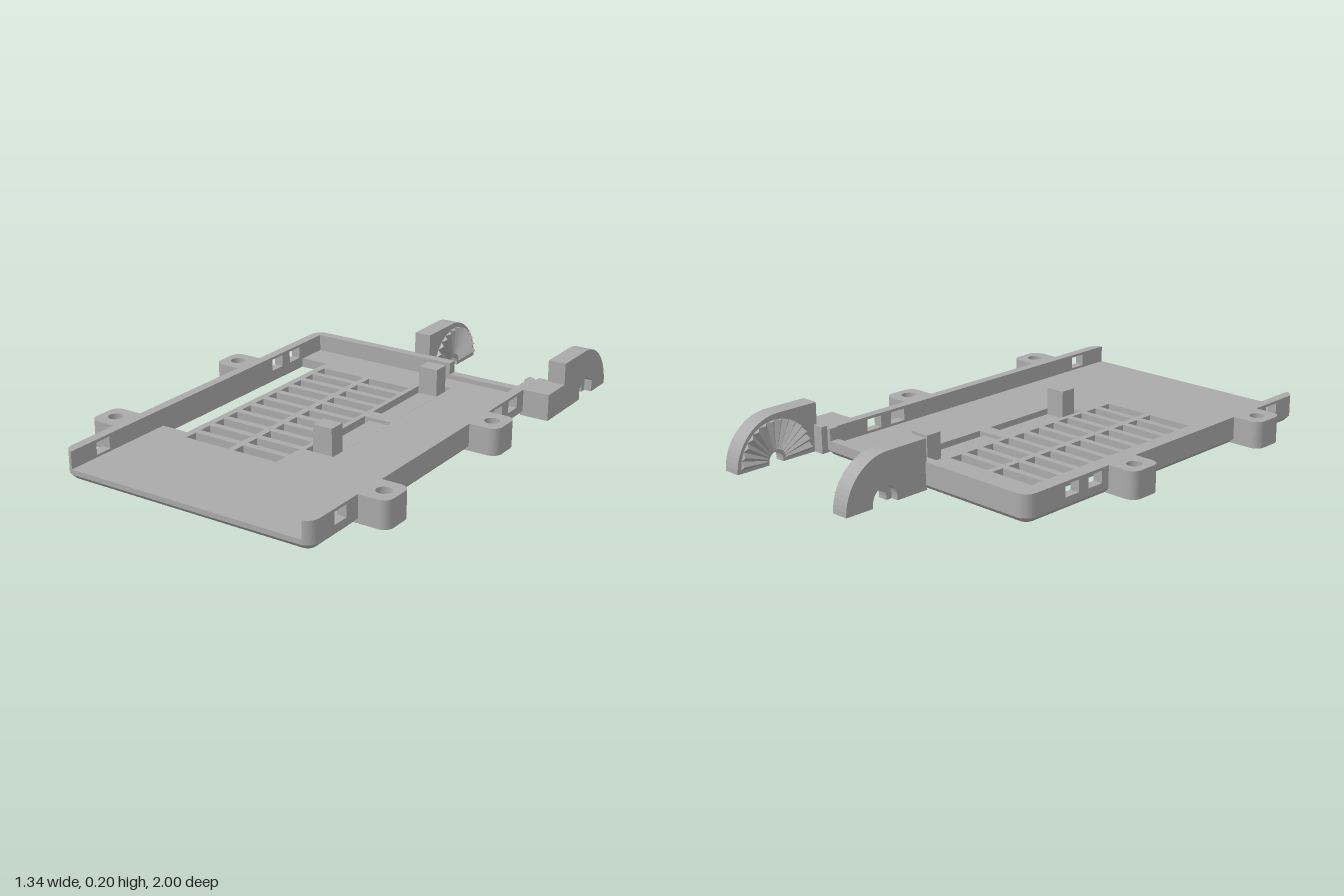
import * as THREE from 'three';

const grey = new THREE.MeshStandardMaterial({ color: 0xaaaaaa, side: THREE.DoubleSide });
grey.name = 'grey plastic';

// Points along an arc, as [a, b] pairs
function arc(cx, cy, r, from, to, n = 8) {
  return Array.from({ length: n + 1 }, (_, i) => {
    const t = from + (to - from) * i / n;
    return [cx + r * Math.cos(t), cy + r * Math.sin(t)];
  });
}
const circle = (cx, cy, r) => arc(cx, cy, r, 0, Math.PI * 2, 24).slice(0, -1);
const rect = (a0, b0, a1, b1) => [[a0, b0], [a1, b0], [a1, b1], [a0, b1]];

function roundedRect(x0, z0, x1, z1, r) {
  const q = Math.PI / 2;
  return [
    ...arc(x1 - r, z1 - r, r, 0, q), ...arc(x0 + r, z1 - r, r, q, 2 * q),
    ...arc(x0 + r, z0 + r, r, 2 * q, 3 * q), ...arc(x1 - r, z0 + r, r, 3 * q, 4 * q),
  ];
}

function extrude(points, holes, depth, flip) {
  const toV = (list) => list.map(([a, b]) => new THREE.Vector2(a, flip ? -b : b));
  const shape = new THREE.Shape(toV(points));
  shape.holes = holes.map((h) => new THREE.Path(toV(h)));
  return new THREE.ExtrudeGeometry(shape, { depth, bevelEnabled: false });
}
// Outline in (x, z), raised from y0 to y1
function slab(points, y0, y1, holes = []) {
  return extrude(points, holes, y1 - y0, true).rotateX(-Math.PI / 2).translate(0, y0, 0);
}
// Outline in (z, y), spanning x0 to x1
function sidePlate(points, x0, x1, holes = []) {
  return extrude(points, holes, x1 - x0, false).rotateY(-Math.PI / 2).translate(x1, 0, 0);
}

// Chamfered rim: a cross-section of [inset, y] carried round the tray outline
function rimGeometry() {
  const section = [[0.02, 0], [0, 0.02], [0, 0.04], [0.02, 0.04]];
  const loops = section.map(([d, y]) =>
    roundedRect(-0.55 + d, -0.62 + d, 0.55 - d, 1 - d, 0.05 - d).map(([x, z]) => [x, y, z]));
  const pos = [];
  for (let k = 0; k < loops.length - 1; k++) {
    const a = loops[k], b = loops[k + 1], n = a.length;
    for (let i = 0; i < n; i++) {
      const j = (i + 1) % n;
      pos.push(...a[i], ...b[i], ...b[j], ...a[i], ...b[j], ...a[j]);
    }
  }
  return fromPositions(pos);
}
function fromPositions(pos) {
  const g = new THREE.BufferGeometry();
  g.setAttribute('position', new THREE.Float32BufferAttribute(pos, 3));
  g.computeVertexNormals();
  return g;
}

// Half ring of radial locking teeth pointing along dir on x
function teethGeometry(x, dir) {
  const count = 14, r0 = 0.045, r1 = 0.165, pos = [];
  const p = (r, t, h) => [x + dir * h, 0.012 + r * Math.sin(t), -0.818 + r * Math.cos(t)];
  for (let i = 0; i < count; i++) {
    const [s, m, e] = [0, 0.5, 1].map((f) => Math.PI * (i + f) / count);
    const a = p(r0, s, 0), b = p(r1, s, 0), c = p(r0, m, 0.005), d = p(r1, m, 0.019);
    const f = p(r0, e, 0), g = p(r1, e, 0);
    const tris = [[a, d, b], [a, c, d], [c, g, d], [c, f, g], [b, d, g], [a, f, c]];
    for (const [u, v, w] of tris) pos.push(...u, ...(dir > 0 ? v : w), ...(dir > 0 ? w : v));
  }
  return fromPositions(pos);
}

// Hinge arm profile in (z, y) with a notch cut into its underside
function armProfile(notch) {
  return [[-0.615, 0], [-0.615, 0.2], ...arc(-0.8, 0, 0.2, Math.PI / 2, Math.PI, 16), ...notch];
}

export function createModel() {
  const model = new THREE.Group();
  model.name = 'ventedTray';
  const add = (name, geometry) => {
    const mesh = new THREE.Mesh(geometry, grey);
    mesh.name = name;
    model.add(mesh);
  };

  // Floor with vent slots, side opening and clip cut-outs
  const holes = [
    rect(-0.515, -0.45, -0.39, 0.49),
    rect(0.085, -0.49, 0.21, -0.09),
    rect(0.085, -0.03, 0.21, 0.375),
  ];
  for (let i = 0; i < 11; i++) {
    const z = -0.394 + i * 0.0868;
    holes.push(rect(-0.36, z, -0.16, z + 0.057), rect(-0.132, z, 0.064, z + 0.057));
  }
  add('floor', slab(roundedRect(-0.53, -0.6, 0.53, 0.98, 0.03), 0, 0.04, holes));
  add('floorRim', rimGeometry());

  // Spring tongues with upright stops at their ends
  add('backTongue', slab(rect(0.105, -0.475, 0.19, -0.09), 0, 0.025));
  add('frontTongue', slab(rect(0.105, -0.03, 0.19, 0.355), 0, 0.025));
  add('backStop', slab(rect(0.105, -0.475, 0.19, -0.405), 0.025, 0.14));
  add('frontStop', slab(rect(0.105, 0.285, 0.19, 0.355), 0.025, 0.14));

  // Side walls, rounded ends and screw tabs, mirrored
  const windows = [[0.794, 0.865], [-0.298, -0.226], [-0.422, -0.35]]
    .map(([a, b]) => rect(a, 0.05, b, 0.099));
  for (const s of [1, -1]) {
    const side = s > 0 ? 'left' : 'right';
    const mirror = (pts) => pts.map(([x, z]) => [s * x, z]);
    add(side + 'Wall', sidePlate(rect(-0.57, 0.04, 0.95, 0.11),
      s > 0 ? 0.51 : -0.55, s > 0 ? 0.55 : -0.51, windows));
    add(side + 'FrontCorner', slab(mirror(
      [[0.51, 0.95], ...arc(0.5, 0.95, 0.05, 0, Math.acos(0.2))]), 0.04, 0.11));
    add(side + 'BackCorner', slab(mirror([...arc(0.5, -0.57, 0.05, 0, -Math.PI / 2),
      [0.5, -0.58], [0.51, -0.58], [0.51, -0.57]]), 0.04, 0.11));
    for (const z of [-0.113, 0.65]) {
      const outline = mirror([[0.535, z - 0.075],
        ...arc(0.63, z - 0.035, 0.04, -Math.PI / 2, 0),
        ...arc(0.63, z + 0.035, 0.04, 0, Math.PI / 2), [0.535, z + 0.075]]);
      add(side + 'TabTop', slab(outline, 0.05, 0.11, [circle(s * 0.607, z, 0.03)]));
      add(side + 'TabBase', slab(outline, 0, 0.05, [circle(s * 0.607, z, 0.05)]));
    }
  }

  // Back wall with a lowered section
  add('backWall', slab(rect(-0.5, -0.62, 0.15, -0.58), 0.04, 0.11));
  add('lowBackWall', slab(rect(0.15, -0.62, 0.5, -0.58), 0.04, 0.06));

  // Hinge arms: bolt bore inside, wider pocket on the outer face
  const bore = [[-0.851, 0], ...arc(-0.818, 0.015, 0.033, Math.PI, 0), [-0.785, 0]];
  const hexPocket = [[-0.876, 0], [-0.876, 0.05], [-0.818, 0.083], [-0.76, 0.05], [-0.76, 0]];
  const roundPocket = [[-0.876, 0], ...arc(-0.818, 0.015, 0.058, Math.PI, 0, 12), [-0.76, 0]];
  add('leftArmInner', sidePlate(armProfile(bore), 0.587, 0.63));
  add('leftArmOuter', sidePlate(armProfile(hexPocket), 0.63, 0.662));
  add('leftArmMount', slab(rect(0.54, -0.63, 0.662, -0.475), 0, 0.11));
  add('leftArmTeeth', teethGeometry(0.587, -1));
  add('rightArmInner', sidePlate(armProfile(bore), -0.01, 0.03));
  add('rightArmOuter', sidePlate(armProfile(roundPocket), -0.042, -0.01));
  add('rightArmTeeth', teethGeometry(0.03, 1));

  return model;
}
